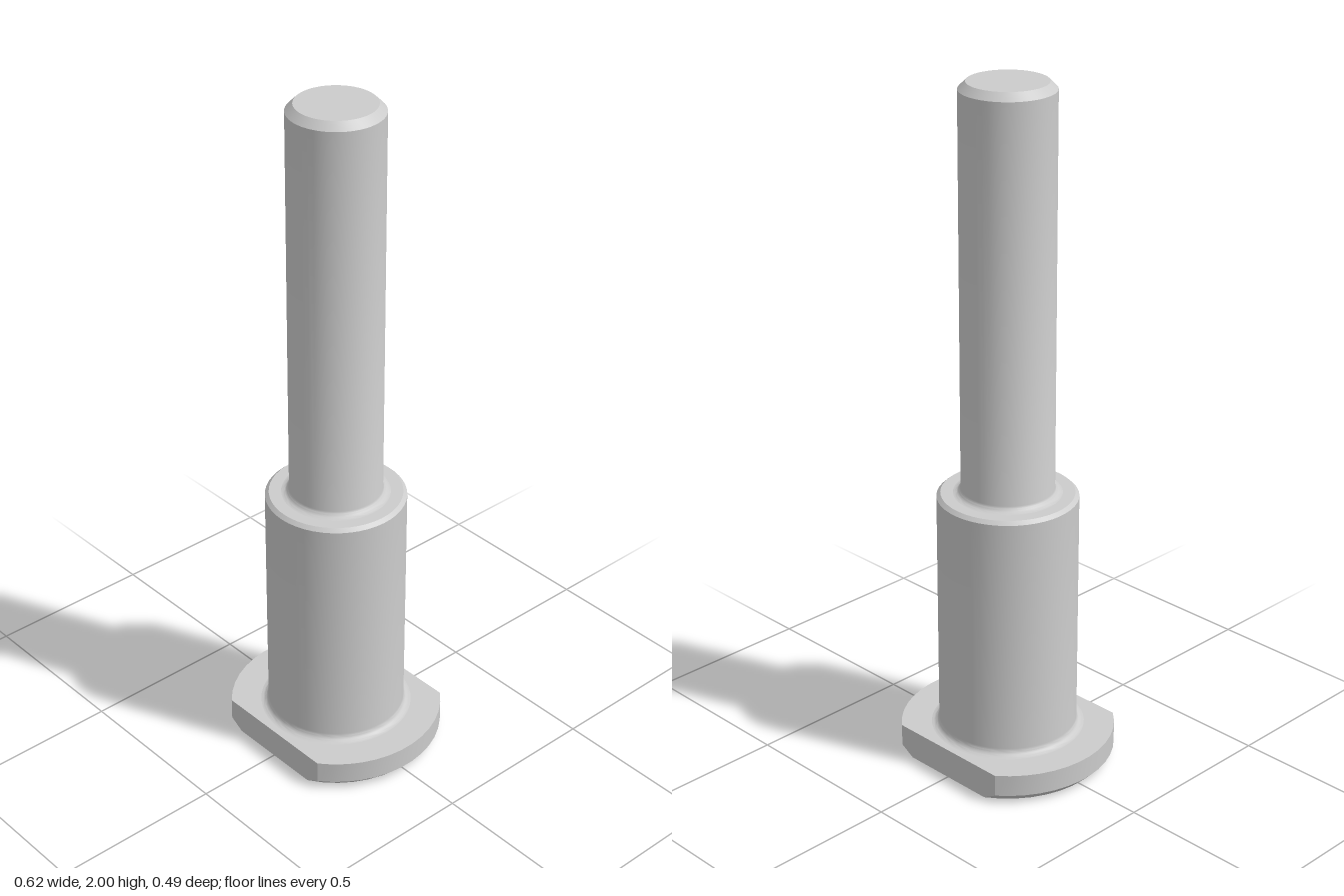
import * as THREE from 'three';
import { toCreasedNormals } from 'three/addons/utils/BufferGeometryUtils.js';

const FLAT_Z = 0.243; // distance of the two flats from the axis
const ARC_STEPS = 13;

// Circle of radius r cut by the two flats, counter-clockwise from above
function flangeOutline(r, y) {
  const a = Math.asin(FLAT_Z / r);
  const points = [];
  for (const start of [0, Math.PI]) {
    for (let i = 0; i <= ARC_STEPS; i++) {
      const t = start - a + (2 * a * i) / ARC_STEPS;
      points.push([r * Math.cos(t), y, -r * Math.sin(t)]);
    }
  }
  return points;
}

// Closed solid through a stack of outlines, bottom to top
function loft(rings) {
  const positions = [];
  const tri = (a, b, c) => positions.push(...a, ...b, ...c);
  const n = rings[0].length;
  const bottom = rings[0];
  const top = rings[rings.length - 1];
  for (let i = 0; i < n; i++) {
    const j = (i + 1) % n;
    for (let k = 0; k < rings.length - 1; k++) {
      const lo = rings[k], hi = rings[k + 1];
      tri(lo[i], lo[j], hi[j]);
      tri(lo[i], hi[j], hi[i]);
    }
    tri([0, bottom[0][1], 0], bottom[j], bottom[i]);
    tri([0, top[0][1], 0], top[i], top[j]);
  }
  const geometry = new THREE.BufferGeometry();
  geometry.setAttribute('position', new THREE.Float32BufferAttribute(positions, 3));
  return geometry;
}

// Concave fillet from a floor at height y up to a cylinder of radius r
function fillet(r, y, size, steps = 6) {
  return Array.from({ length: steps + 1 }, (_, i) => {
    const t = (i / steps) * Math.PI / 2;
    return [r + size * (1 - Math.sin(t)), y + size * (1 - Math.cos(t))];
  });
}

export function createModel() {
  const group = new THREE.Group();
  const material = new THREE.MeshStandardMaterial({ color: 0xcccccc });
  const add = (name, geometry) => {
    const mesh = new THREE.Mesh(toCreasedNormals(geometry, 0.5), material);
    mesh.name = name;
    group.add(mesh);
  };
  const turned = (profile) =>
    new THREE.LatheGeometry(profile.map(([x, y]) => new THREE.Vector2(x, y)), 48);

  // Flange with two flats and a chamfered lower rim
  add('flange', loft([
    flangeOutline(0.285, 0),
    flangeOutline(0.31, 0.025),
    flangeOutline(0.31, 0.09),
  ]));

  // Thick shoulder, filleted to the flange and chamfered at its top
  add('shoulder', turned([
    ...fillet(0.2, 0.09, 0.022),
    [0.2, 0.816], [0.189, 0.826], [0.12, 0.826],
  ]));

  // Slim pin, filleted to the shoulder with a chamfered tip
  add('pin', turned([
    ...fillet(0.132, 0.826, 0.022),
    [0.132, 1.979], [0.111, 2], [0, 2],
  ]));

  return group;
}
